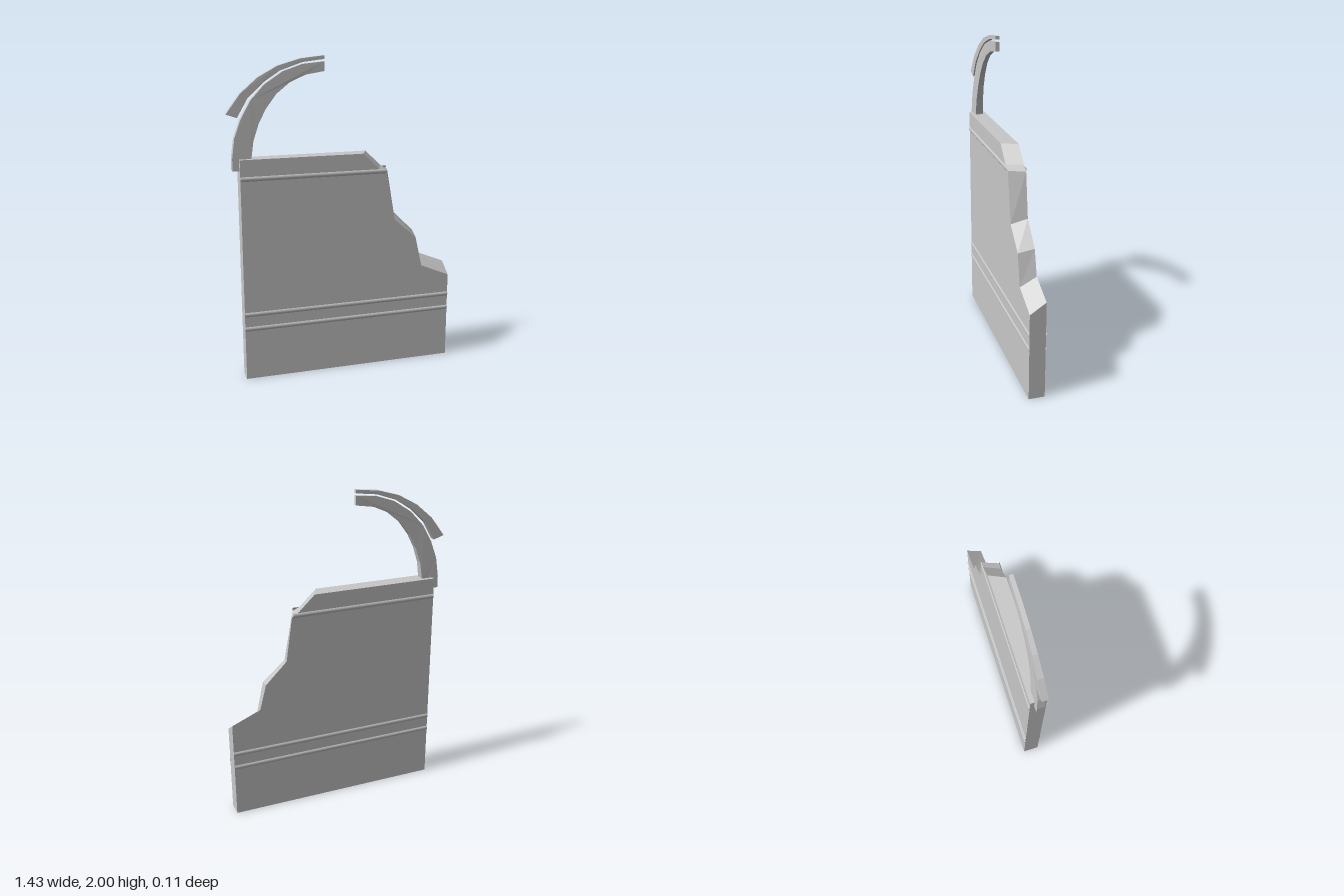
import * as THREE from 'three';

const stone = new THREE.MeshStandardMaterial({ color: 0xc8c8c8, side: THREE.DoubleSide });
stone.name = 'pale grey stone';

// Solid between two matching outlines of [x, y, z], anticlockwise seen from the front.
// Rim faces start at firstEdge, so earlier edges stay open.
function slab(name, front, back, firstEdge = 0) {
  const pos = [];
  const n = front.length;
  const tris = THREE.ShapeUtils.triangulateShape(front.map(p => new THREE.Vector2(p[0], p[1])), []);
  for (const [a, b, c] of tris) {
    pos.push(...front[a], ...front[b], ...front[c]);
    pos.push(...back[c], ...back[b], ...back[a]);
  }
  for (let i = firstEdge; i < n; i++) {
    const j = (i + 1) % n;
    pos.push(...front[i], ...back[i], ...back[j], ...front[i], ...back[j], ...front[j]);
  }
  const geo = new THREE.BufferGeometry();
  geo.setAttribute('position', new THREE.Float32BufferAttribute(pos, 3));
  geo.computeVertexNormals();
  const mesh = new THREE.Mesh(geo, stone);
  mesh.name = name;
  return mesh;
}

// Curved rib whose half depth tapers from foot to tip
function rib(name, inner, outer, depths) {
  const side = s => [
    ...inner.map(([x, y], i) => [x, y, s * depths[i]]),
    ...outer.map(([x, y], i) => [x, y, s * depths[i]]).reverse(),
  ];
  return slab(name, side(1), side(-1));
}

// Shallow rounded ridge along one wall face
function moulding(name, y, xEnd, s) {
  const x0 = -0.645, r = 0.02;
  const geo = new THREE.CylinderGeometry(r, r, xEnd - x0, 8, 1, true, -0.8, 1.6);
  geo.rotateZ(Math.PI / 2);
  if (s < 0) geo.rotateY(Math.PI);
  const mesh = new THREE.Mesh(geo, stone);
  mesh.position.set((x0 + xEnd) / 2, y, s * 0.036);
  mesh.name = name;
  return mesh;
}

export function createModel() {
  const model = new THREE.Group();
  model.name = 'brokenWall';

  // Wall with a slanted broken edge and an open underside
  const frontEdge = [[0.714, 0.563], [0.523, 0.645], [0.478, 0.843], [0.333, 0.968], [0.273, 1.282], [0.225, 1.305], [0.12, 1.405]];
  const backEdge = [[0.714, 0.63], [0.532, 0.705], [0.49, 0.865], [0.353, 1.0], [0.312, 1.28], [0.265, 1.31], [0.165, 1.405]];
  const wallFace = (edge, z) =>
    [[-0.645, 0], [0.714, 0], ...edge, [-0.645, 1.405]].map(([x, y]) => [x, y, z]);
  model.add(slab('wall', wallFace(frontEdge, 0.05), wallFace(backEdge, -0.05), 1));

  // Horizontal ridges on both faces
  for (const [label, s] of [['front', 1], ['back', -1]]) {
    model.add(moulding(label + 'UpperMoulding', 1.288, s > 0 ? 0.27 : 0.305, s));
    model.add(moulding(label + 'MiddleMoulding', 0.43, 0.714, s));
    model.add(moulding(label + 'LowerMoulding', 0.335, 0.714, s));
  }

  // Main arched rib rising from the wall
  model.add(rib('archRib',
    [[-0.57, 1.335], [-0.57, 1.41], [-0.555, 1.51], [-0.52, 1.612], [-0.475, 1.697], [-0.41, 1.782], [-0.33, 1.846], [-0.23, 1.89], [-0.115, 1.908]],
    [[-0.685, 1.335], [-0.685, 1.41], [-0.668, 1.53], [-0.628, 1.64], [-0.565, 1.75], [-0.48, 1.84], [-0.37, 1.912], [-0.25, 1.952], [-0.115, 1.965]],
    [0.026, 0.025, 0.022, 0.019, 0.017, 0.015, 0.0135, 0.0125, 0.012]));

  // Thin outer strip following the arch
  model.add(rib('outerArchStrip',
    [[-0.648, 1.65], [-0.582, 1.762], [-0.488, 1.85], [-0.385, 1.917], [-0.25, 1.963], [-0.115, 1.979]],
    [[-0.714, 1.672], [-0.625, 1.79], [-0.52, 1.88], [-0.4, 1.945], [-0.26, 1.985], [-0.115, 2.0]],
    [0.02, 0.018, 0.015, 0.0135, 0.0125, 0.012]));

  return model;
}
